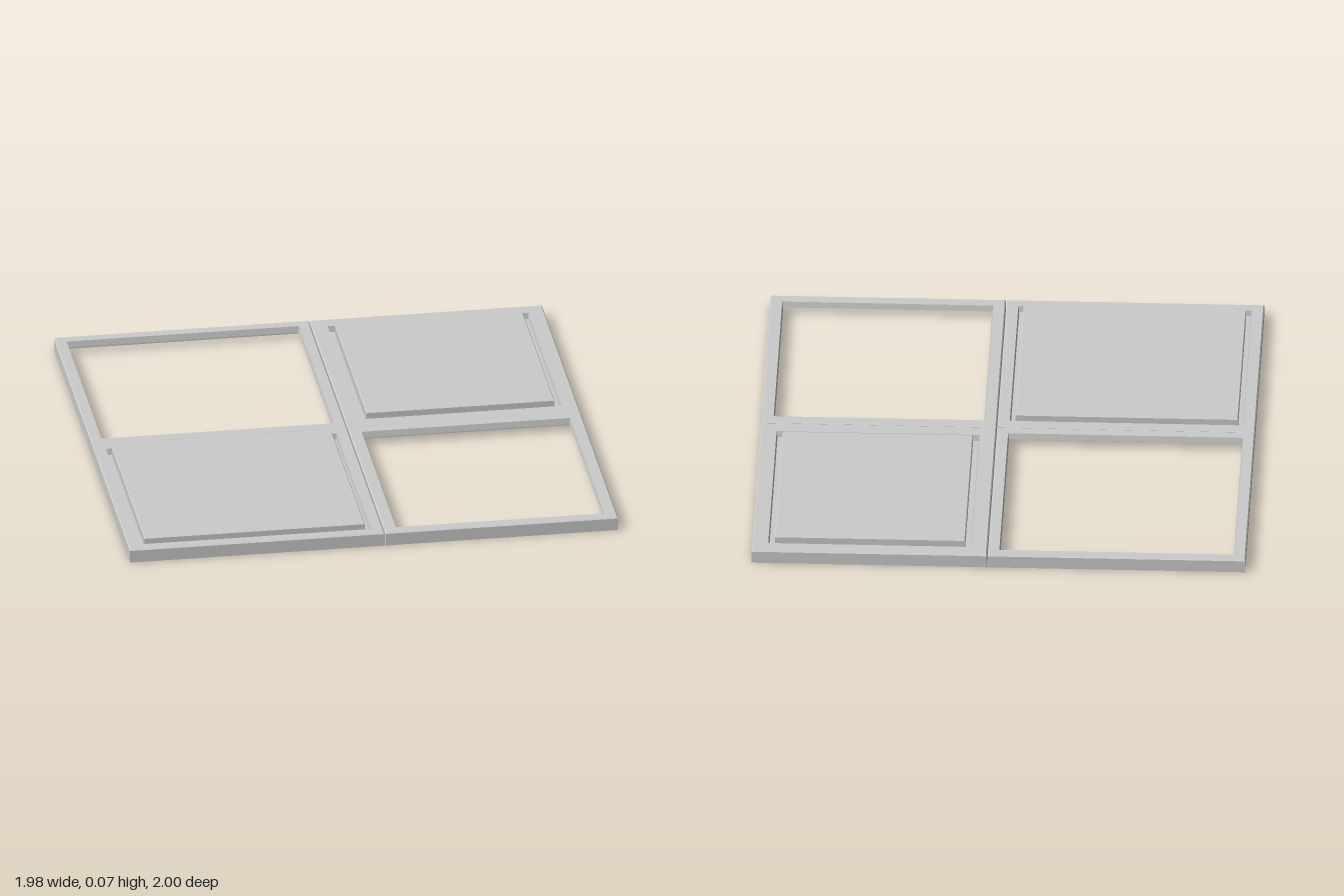
import * as THREE from 'three';

const material = new THREE.MeshStandardMaterial({ color: 0xcccccc, flatShading: true, side: THREE.DoubleSide });

// Thin open shell: rectangular rings [inset, y] joined in order, optionally capped.
function shell(name, [x0, x1, z0, z1], profile, capped = false) {
  const positions = [];
  const ring = ([d, y]) => [
    [x0 + d, y, z1 - d], [x1 - d, y, z1 - d], [x1 - d, y, z0 + d], [x0 + d, y, z0 + d],
  ];
  const quad = (a, b, c, d) => positions.push(...a, ...b, ...c, ...a, ...c, ...d);
  for (let i = 0; i < profile.length - 1; i++) {
    const lower = ring(profile[i]);
    const upper = ring(profile[i + 1]);
    for (let k = 0; k < 4; k++) {
      const n = (k + 1) % 4;
      quad(lower[k], lower[n], upper[n], upper[k]);
    }
  }
  if (capped) quad(...ring(profile[profile.length - 1]));
  const geometry = new THREE.BufferGeometry();
  geometry.setAttribute('position', new THREE.Float32BufferAttribute(positions, 3));
  geometry.computeVertexNormals();
  const mesh = new THREE.Mesh(geometry, material);
  mesh.name = name;
  return mesh;
}

const TOP = 0.055;      // top of the rims
const LEDGE = 0.03;     // bottom of the inner lip
const PANEL_TOP = 0.07; // top of the raised panels

// Bevelled outer wall, flat rim and short lip around the opening
function rim(bounds, opening) {
  return shell('rim', bounds, [
    [0, 0], [0, TOP - 0.004], [0.004, TOP], [opening, TOP], [opening + 0.004, LEDGE],
  ]);
}

// Hollow raised panel standing in a narrow groove inside the rim
function panel(bounds, opening, inset) {
  return shell('raisedPanel', bounds, [
    [opening + 0.004, LEDGE], [inset, LEDGE], [inset, PANEL_TOP - 0.003], [inset + 0.003, PANEL_TOP],
  ], true);
}

export function createModel() {
  const model = new THREE.Group();
  model.name = 'fourTiles';
  // bounds are [xMin, xMax, zMin, zMax]
  const tiles = [
    { name: 'backRightFrame', bounds: [-0.99, 0.043, -1, 0.003], opening: 0.045 },
    { name: 'frontLeftFrame', bounds: [0.047, 0.99, 0.007, 1], opening: 0.048 },
    { name: 'backLeftLid', bounds: [0.047, 0.99, -1, 0.003], opening: 0.064, inset: 0.09 },
    { name: 'frontRightLid', bounds: [-0.99, 0.043, 0.007, 1], opening: 0.048, inset: 0.07 },
  ];
  for (const { name, bounds, opening, inset } of tiles) {
    const tile = new THREE.Group();
    tile.name = name;
    tile.add(rim(bounds, opening));
    if (inset) tile.add(panel(bounds, opening, inset));
    model.add(tile);
  }
  return model;
}
